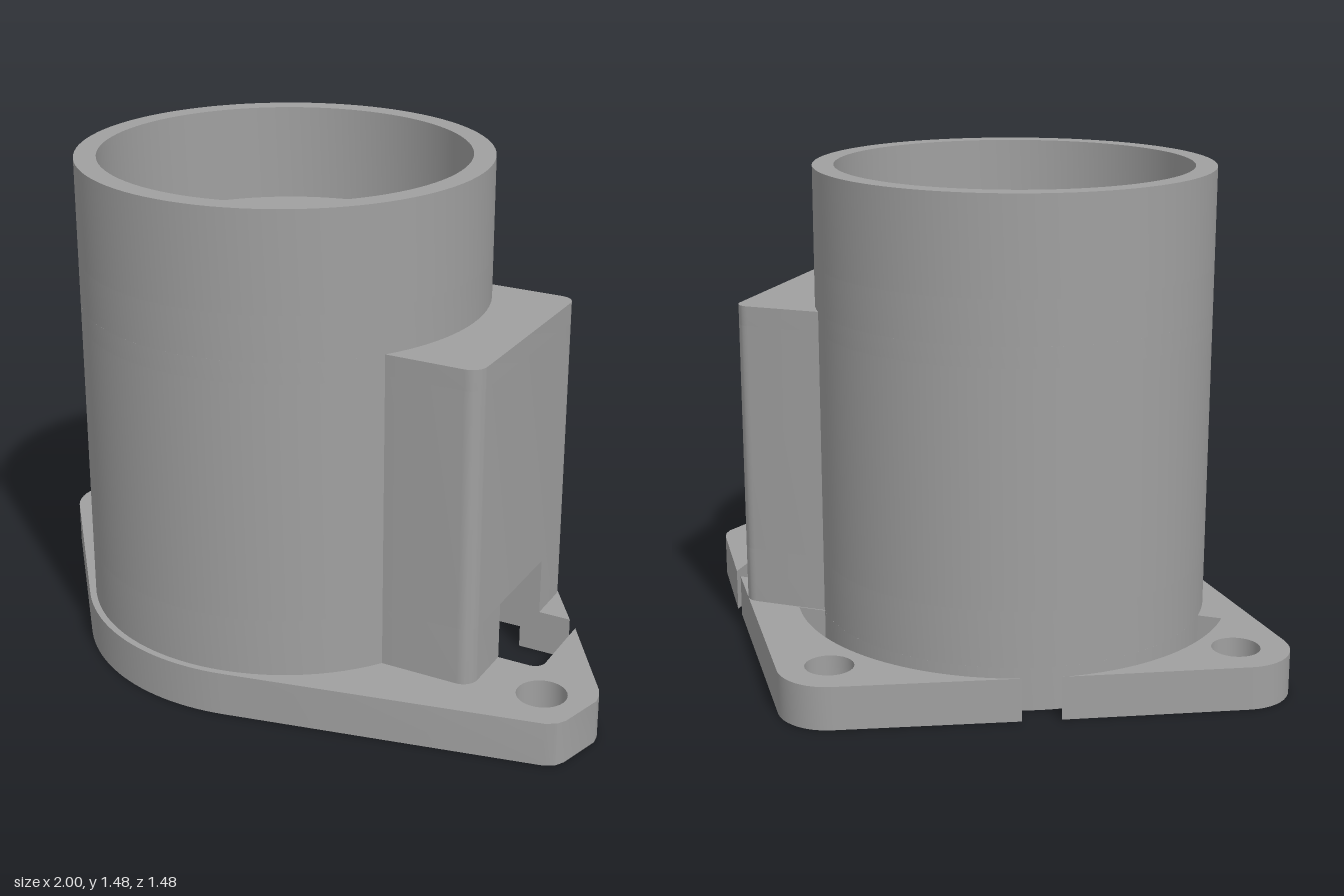
import * as THREE from 'three';
import { toCreasedNormals } from 'three/addons/utils/BufferGeometryUtils.js';

// Barrel axis (x, z) and main radii
const CX = -0.095, CZ = 0.125;
const R_OUT = 0.593, R_IN = 0.53, R_BORE = 0.265, R_SLOT = 0.665;

// Points on an arc in the ground plane, as [x, z]
function arc(cx, cz, r, a0, a1, n = 48) {
  const pts = [];
  for (let i = 0; i <= n; i++) {
    const a = a0 + (a1 - a0) * i / n;
    pts.push([cx + r * Math.cos(a), cz + r * Math.sin(a)]);
  }
  return pts;
}
const circle = (cx, cz, r, n = 96) => arc(cx, cz, r, 0, Math.PI * 2, n).slice(0, -1);
const toVectors = (pts) => pts.map(([x, z]) => new THREE.Vector2(x, z));

export function createModel() {
  const group = new THREE.Group();
  const grey = new THREE.MeshStandardMaterial({ color: 0xa0a0a0 });

  // Upright slab with an [x, z] outline between two heights
  function slab(name, y0, y1, outline, holes = []) {
    const shape = new THREE.Shape(toVectors(outline));
    for (const h of holes) shape.holes.push(new THREE.Path(toVectors(h)));
    const geo = new THREE.ExtrudeGeometry(shape, { depth: y1 - y0, bevelEnabled: false });
    geo.rotateX(Math.PI / 2);
    geo.translate(0, y1, 0);
    const mesh = new THREE.Mesh(toCreasedNormals(geo, 0.5), grey);
    mesh.name = name;
    group.add(mesh);
  }

  // Flange: three ears, an arc slot open at the back, and the pocket opening at the right edge
  const flange = [
    ...arc(-0.85, -0.075, 0.15, Math.PI * 0.8, Math.PI * 1.35, 12),
    ...arc(CX, CZ, R_SLOT, -2.1, -Math.PI, 24),
    ...arc(CX, CZ, R_OUT, -Math.PI, -0.604, 48),
    ...arc(CX, CZ, R_SLOT, -0.53, -1.93, 32),
    ...arc(0.215, -0.59, 0.15, -2.03, -0.58, 12),
    [0.767, -0.03], [0.61, -0.03], [0.61, -0.14], [-0.36, -0.14],
    [-0.36, 0.01], [-0.45, 0.01], [-0.45, 0.24], [-0.36, 0.24],
    [-0.36, 0.39], [0.61, 0.39], [0.61, 0.27],
    ...arc(0.765, 0.235, 0.035, Math.PI / 2, 0, 6), [0.8, 0.01],
    [0.985, 0.3], [0.997, 0.33], [1, 0.36],
    [0.965, 0.49], [0.95, 0.515], [0.92, 0.532],
    ...arc(CX, CZ, 0.612, 1.36, 2.48, 24),
  ];
  const screwHoles = [[-0.845, -0.08], [0.215, -0.59], [0.855, 0.395]]
    .map(([x, z]) => circle(x, z, 0.071, 32));
  slab('flange', 0, 0.13, flange, screwHoles);

  // Barrel joined to the rectangular side housing
  const half = 0.3325, join = Math.asin(half / R_OUT), rc = 0.045, xBox = 0.67;
  const barrelArc = arc(CX, CZ, R_OUT, join, Math.PI * 2 - join, 80);
  const backCorner = arc(xBox - rc, CZ - half + rc, rc, -Math.PI / 2, 0, 8);
  const frontCorner = arc(xBox - rc, CZ + half - rc, rc, 0, Math.PI / 2, 8);
  const body = [...barrelArc, ...backCorner, ...frontCorner];
  const pocket = [[-0.36, -0.14], [0.61, -0.14], [0.61, 0.39], [-0.36, 0.39]];
  const bore = circle(CX, CZ, R_BORE);

  // Lower body, with a cable notch through the housing wall
  slab('lowerBody', 0.13, 0.3, [
    ...barrelArc, ...backCorner,
    [xBox, -0.03], [0.61, -0.03], [0.61, -0.14], [-0.36, -0.14],
    [-0.36, 0.39], [0.61, 0.39], [0.61, 0.27], [xBox, 0.27],
    ...frontCorner,
  ]);
  slab('middleBody', 0.3, 1.0, body, [pocket]);
  slab('housingLid', 1.0, 1.06, body, [bore]);

  // Upper barrel: bored floor and open rim
  const barrel = circle(CX, CZ, R_OUT);
  slab('barrelFloor', 1.06, 1.19, barrel, [bore]);
  slab('barrelRim', 1.19, 1.475, barrel, [circle(CX, CZ, R_IN)]);

  return group;
}
